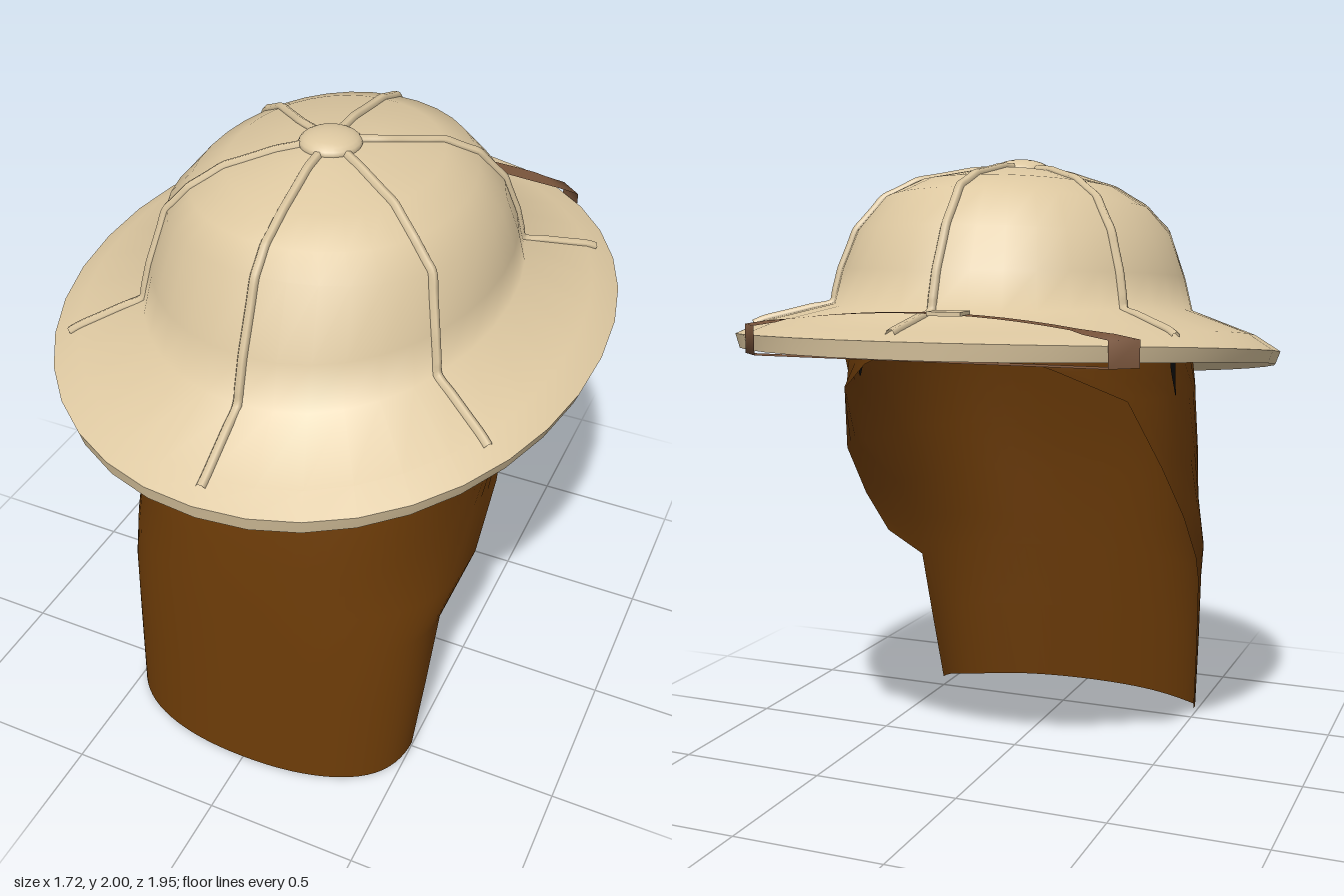
import * as THREE from 'three';

const mat = (name, color) => {
  const m = new THREE.MeshStandardMaterial({ color, side: THREE.DoubleSide });
  m.name = name;
  return m;
};

// Crown and brim rings: [half width, z front, z back, y front, y side, y back]
const RINGS = [
  [0.862, 0.972, -0.975, 1.275, 1.405, 1.48],
  [0.78, 0.89, -0.88, 1.315, 1.455, 1.5],
  [0.57, 0.69, -0.65, 1.43, 1.525, 1.54],
  [0.545, 0.645, -0.61, 1.57, 1.63, 1.66],
  [0.5, 0.555, -0.54, 1.78, 1.76, 1.79],
  [0.42, 0.49, -0.44, 1.845, 1.85, 1.9],
  [0.32, 0.38, -0.32, 1.895, 1.91, 1.94],
  [0.16, 0.22, -0.1, 1.95, 1.95, 1.97],
  [0.001, 0.06, 0.059, 1.97, 1.97, 1.97],
];

// Signed power, below 1 makes an ellipse fuller at its corners
const spow = (v, e) => Math.sign(v) * Math.abs(v) ** e;

// Point on a ring, angle 0 at the front (+z)
function ringPoint([rx, zf, zb, yf, ys, yb], a, dy = 0) {
  const c = Math.cos(a);
  return new THREE.Vector3(
    rx * spow(Math.sin(a), 0.96),
    ys + ((yf - yb) / 2) * c + ((yf + yb) / 2 - ys) * c * c + dy,
    (zf + zb) / 2 + ((zf - zb) / 2) * spow(c, 0.96)
  );
}

const ringRow = (ring, dy = 0, n = 36) =>
  Array.from({ length: n }, (_, i) => ringPoint(ring, (i / n) * Math.PI * 2, dy));

// Skin rows of points into a smooth surface
function skin(rows, closed = false) {
  const n = rows[0].length, index = [];
  for (let r = 0; r < rows.length - 1; r++) {
    for (let i = 0; i < (closed ? n : n - 1); i++) {
      const j = (i + 1) % n;
      const a = r * n + i, b = r * n + j, c = a + n, d = b + n;
      index.push(a, b, d, a, d, c);
    }
  }
  const g = new THREE.BufferGeometry().setFromPoints(rows.flat());
  g.setIndex(index);
  g.computeVertexNormals();
  return g;
}

export function createModel() {
  const group = new THREE.Group();
  const tan = mat('tan cloth', 0xdcc7a0);
  const hairBrown = mat('hair brown', 0x6a3a07);
  const leather = mat('strap leather', 0x78543b);
  const black = mat('liner black', 0x0d0d0d);
  const add = (name, geo, material) => {
    const m = new THREE.Mesh(geo, material);
    m.name = name;
    group.add(m);
    return m;
  };

  // Helmet shell, rim edge and brim underside
  const rim = RINGS[0];
  const rimLow = [0.847, 0.96, -0.968, 1.225, 1.365, 1.43];
  const inner = [0.565, 0.68, -0.64, 1.43, 1.525, 1.54];
  add('helmetShell', skin(RINGS.map((r) => ringRow(r)), true), tan);
  add('rimEdge', skin([ringRow(rimLow), ringRow(rim)], true), tan);
  add('brimUnderside', skin([ringRow(inner), ringRow(inner, -0.04), ringRow(rimLow)], true), tan);

  // Seam ribs following the shell
  const along = (u, a) => {
    const i = Math.min(Math.floor(u), RINGS.length - 2);
    return ringPoint(RINGS[i], a).lerp(ringPoint(RINGS[i + 1], a), u - i);
  };
  const side = 0.32 * Math.PI;
  for (const a of [0, side, Math.PI - side, Math.PI, Math.PI + side, -side]) {
    const pts = [];
    for (let k = 2; k <= 23; k++) pts.push(along(k / 3, a));
    add('seamRib', new THREE.TubeGeometry(new THREE.CatmullRomCurve3(pts), 84, 0.015, 6), tan);
  }

  // Crown button
  const button = add('crownButton', new THREE.SphereGeometry(0.095, 24, 12), tan);
  button.scale.y = 0.4;
  button.position.set(0, 1.962, 0.06);

  // Hair sheet: [y, half width, z at the nape, z of the free edge, corner power]
  const hairRows = [
    [0.02, 0.505, 0.78, 0.51, 0.92], [0.3, 0.525, 0.75, 0.455, 0.9], [0.55, 0.54, 0.725, 0.4, 0.86],
    [0.68, 0.58, 0.71, 0.2, 0.8], [0.85, 0.58, 0.69, 0.03, 0.74], [1.04, 0.575, 0.66, -0.15, 0.7],
    [1.26, 0.565, 0.61, -0.29, 0.68], [1.36, 0.56, 0.59, -0.46, 0.72], [1.42, 0.55, 0.57, -0.53, 0.78],
    [1.5, 0.53, 0.54, -0.56, 0.85], [1.6, 0.49, 0.5, -0.56, 0.95], [1.7, 0.43, 0.43, -0.56, 1],
    [1.8, 0.3, 0.3, -0.56, 1], [1.86, 0.001, 0.001, -0.56, 1],
  ].map(([y, rx, zf, ze, e], r) => {
    const zc = Math.max(ze, 0), rb = r < 10 ? 0.56 : rx;
    const max = ze >= 0 ? Math.PI / 2 : Math.acos(Math.max(-1, ze / rb));
    return Array.from({ length: 41 }, (_, i) => {
      const a = max * (i / 20 - 1), c = Math.cos(a), s = Math.sin(a);
      const dip = r === 0 ? 0.03 * s ** 12 - 0.018 : 0;
      return c > 0
        ? new THREE.Vector3(rx * spow(s, e), y + dip, zc + (zf - zc) * c ** e)
        : new THREE.Vector3(rx * s, y + dip, zc + rb * c);
    });
  });
  add('hair', skin(hairRows), hairBrown);

  // Black liner on both sides: band inside the hair and small tab outside, rows [y, x, z0, z1]
  const band = (s, rows) => skin(rows.map(([y, x, z0, z1]) =>
    [z0, z1].map((z) => new THREE.Vector3(s * x, y, z))));
  for (const s of [-1, 1]) {
    add('linerBand', band(s, [
      [1.28, 0.54, -0.07, -0.08], [1.4, 0.515, -0.06, -0.14], [1.55, 0.465, -0.05, -0.18],
      [1.7, 0.375, -0.05, -0.17], [1.78, 0.25, -0.05, -0.13],
    ]), black);
    add('linerTab', band(s, [
      [1.41, 0.565, -0.06, -0.13], [1.34, 0.57, -0.065, -0.12], [1.26, 0.573, -0.07, -0.075],
    ]), black);
  }

  // Leather strap looped over and under the back of the brim
  const strapY = (x) => 1.545 - 0.17 * x * x;
  const strapZ = (x) => -0.768 - 0.077 * x;
  const path = [[-0.605, 1.405]];
  for (let k = 0; k <= 16; k++) {
    const x = -0.605 + (k / 16) * 1.115;
    path.push([x, strapY(x)]);
  }
  path.push([0.51, 1.415], [-0.605, 1.405]);
  add('strap', skin(path.map(([x, y]) => [-1, 1].map((w) => {
    const skew = Math.abs(x + 0.05) > 0.45 ? Math.sign(x) * w * 0.035 : 0;
    return new THREE.Vector3(x + skew, y, strapZ(x) + w * 0.032);
  }))), leather);

  // Strap buckle
  const buckle = add('strapBuckle', new THREE.BoxGeometry(0.1, 0.012, 0.085), tan);
  buckle.position.set(-0.105, strapY(-0.105) + 0.002, strapZ(-0.105));
  buckle.rotation.y = 0.077;

  return group;
}
